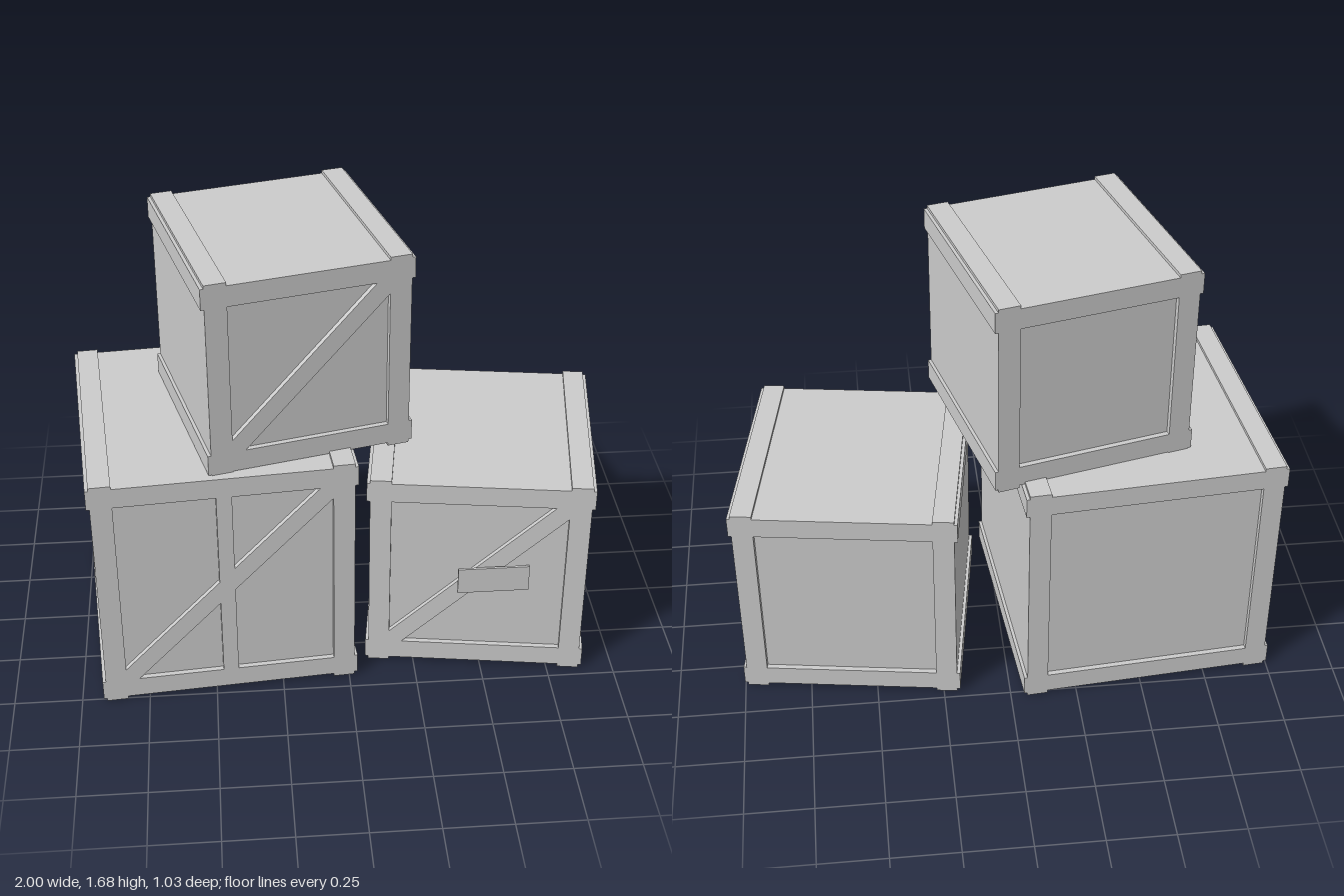
import * as THREE from 'three';

const SLAT = 0.012;   // thickness of the edge slats
const FRAME = 0.078;  // width of frame members and slats
const RECESS = 0.02;  // depth of the end panels behind their frames
const BRACE = 0.047;  // half width of the diagonal, measured along an axis
const POST = 0.028;   // half width of the centre post

const grey = new THREE.MeshStandardMaterial({ color: 0xcccccc });
grey.name = 'plain grey';

function box(name, w, h, d, x, y, z) {
  const mesh = new THREE.Mesh(new THREE.BoxGeometry(w, h, d), grey);
  mesh.name = name;
  mesh.position.set(x, y, z);
  return mesh;
}

// Square frame plate pierced by the given polygons
function framePlate(name, half, holes) {
  const toPoints = (pts) => pts.map(([x, y]) => new THREE.Vector2(x, y));
  const shape = new THREE.Shape(toPoints([[-half, -half], [half, -half], [half, half], [-half, half]]));
  for (const hole of holes) shape.holes.push(new THREE.Path(toPoints(hole)));
  const mesh = new THREE.Mesh(new THREE.ExtrudeGeometry(shape, { depth: RECESS, bevelEnabled: false }), grey);
  mesh.name = name;
  return mesh;
}

function crate(name, size, x, y, z, turn, hasPost) {
  const group = new THREE.Group();
  group.name = name;
  const half = size / 2;
  const b = half - SLAT;   // half size of the body
  const h = b - FRAME;     // half size of the frame opening

  group.add(box('body', 2 * b, 2 * b, size - 2 * RECESS, 0, 0, 0));

  // Front frame with a diagonal brace, and a post on the largest crate
  const upper = hasPost
    ? [
        [[-h, BRACE - h], [-POST, BRACE - POST], [-POST, h], [-h, h]],
        [[POST, POST + BRACE], [h - BRACE, h], [POST, h]],
      ]
    : [[[-h, BRACE - h], [h - BRACE, h], [-h, h]]];
  const lower = upper.map((hole) => hole.map(([px, py]) => [-px, -py]));
  const front = framePlate('frontFrame', b, [...upper, ...lower]);
  front.position.z = half - RECESS;
  group.add(front);

  // Open back frame
  const back = framePlate('backFrame', b, [[[-h, -h], [h, -h], [h, h], [-h, h]]]);
  back.position.z = -half;
  group.add(back);

  // A pair of slats wraps each of the four long edges
  const across = b - FRAME / 2;
  const out = b + SLAT / 2;
  for (const sx of [-1, 1]) {
    for (const sy of [-1, 1]) {
      group.add(box(sy > 0 ? 'topSlat' : 'bottomSlat', FRAME, SLAT, size, sx * across, sy * out, 0));
      group.add(box('sideSlat', SLAT, FRAME, size, sx * out, sy * across, 0));
    }
  }

  group.position.set(x, y + half, z);
  group.rotation.y = turn;
  return group;
}

export function createModel() {
  const model = new THREE.Group();
  model.name = 'crateStack';
  model.add(crate('largeCrate', 0.955, -0.485, 0, -0.005, 0.086, true));
  model.add(crate('mediumCrate', 0.822, 0.535, 0, -0.005, -0.147, false));
  model.add(crate('smallCrate', 0.75, -0.22, 0.934, -0.005, 0.244, false));
  // Blank label board on the medium crate
  model.add(box('label', 0.264, 0.106, 0.0095, 0.532, 0.417, 0.428));
  return model;
}
